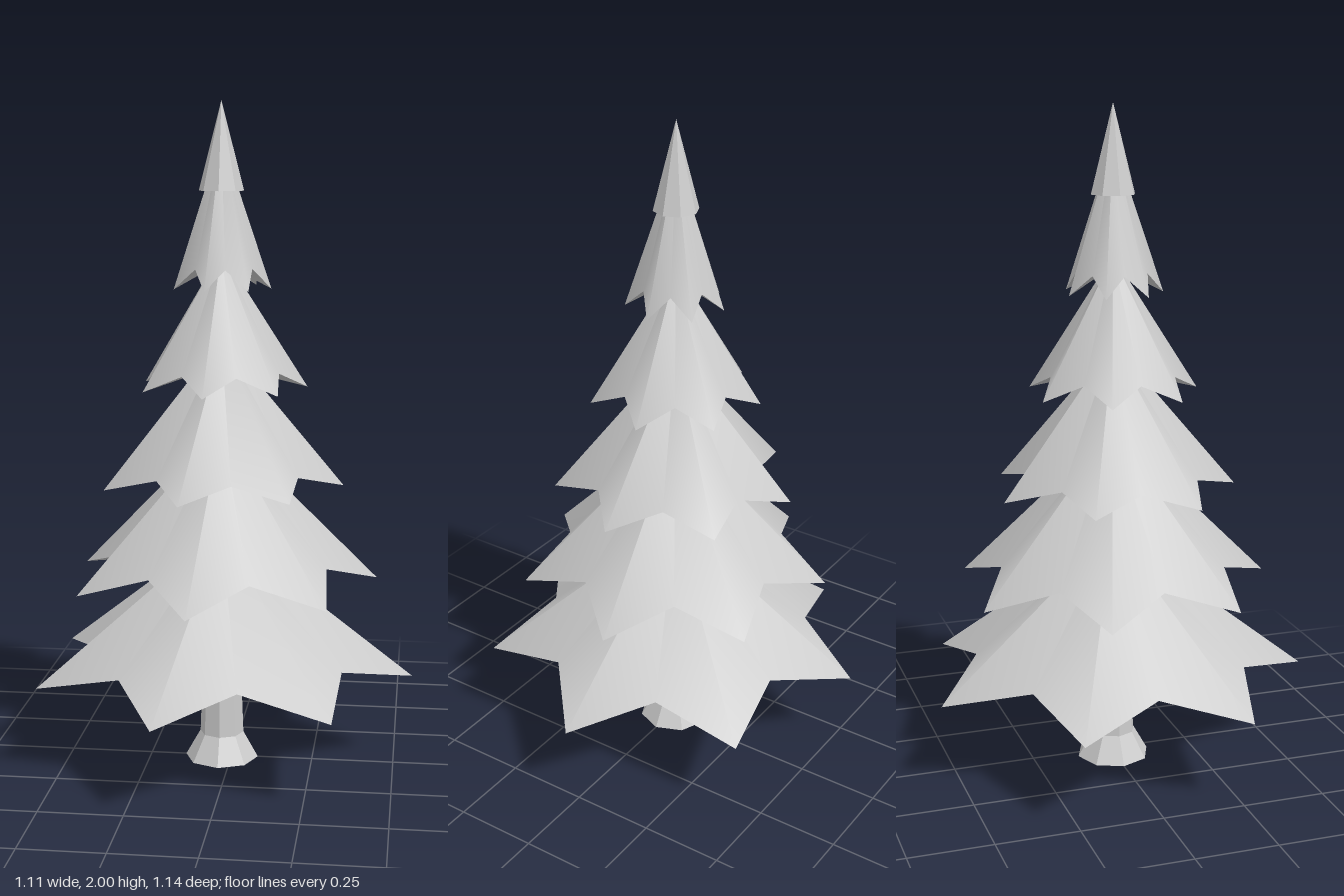
import * as THREE from 'three';

const POINTS = 7;

// Seven-pointed drooping skirt of needles with smooth upper side and a closed underside
function tierGeometry({ tip, valley, tipY, valleyY, apexY, turn }) {
  const n = POINTS * 2;
  const rim = [];
  for (let i = 0; i < n; i++) {
    const a = turn + (i * Math.PI) / POINTS;
    const r = i % 2 ? valley : tip;
    rim.push([r * Math.cos(a), i % 2 ? valleyY : tipY, -r * Math.sin(a)]);
  }
  const pos = [];
  const index = [];
  const t = 0.01; // tiny ring at the peak keeps the shading even
  for (const p of rim) pos.push(p[0] * t, apexY, p[2] * t);
  for (const p of rim) pos.push(...p);
  for (const p of rim) pos.push(...p); // separate rim for the underside
  pos.push(0, valleyY + 0.015, 0);
  for (let i = 0; i < n; i++) {
    const j = (i + 1) % n;
    index.push(i, n + i, n + j, i, n + j, j);
    index.push(3 * n, 2 * n + j, 2 * n + i);
  }
  const g = new THREE.BufferGeometry();
  g.setAttribute('position', new THREE.Float32BufferAttribute(pos, 3));
  g.setIndex(index);
  g.computeVertexNormals();
  return g;
}

// Faceted eight-sided cylinder or cone standing between two heights
function faceted(rTop, rBottom, y0, y1) {
  const g = new THREE.CylinderGeometry(rTop, rBottom, y1 - y0, 8).toNonIndexed();
  g.translate(0, (y0 + y1) / 2, 0);
  g.computeVertexNormals();
  return g;
}

export function createModel() {
  const tree = new THREE.Group();
  tree.name = 'firTree';
  const grey = new THREE.MeshStandardMaterial({ color: 0xcccccc });
  grey.name = 'light grey';

  const add = (name, geometry) => {
    const mesh = new THREE.Mesh(geometry, grey);
    mesh.name = name;
    mesh.position.x = -0.03;
    tree.add(mesh);
  };

  // Trunk with flared foot
  add('trunkFoot', faceted(0.067, 0.112, 0, 0.08));
  add('trunk', faceted(0.053, 0.067, 0.08, 0.45));

  // Branch tiers, every second one turned a little
  const turn = 0.128;
  [
    { tip: 0.584, valley: 0.42, tipY: 0.28, valleyY: 0.342, apexY: 0.72, turn: 0 },
    { tip: 0.474, valley: 0.343, tipY: 0.57, valleyY: 0.635, apexY: 1.04, turn },
    { tip: 0.368, valley: 0.266, tipY: 0.868, valleyY: 0.91, apexY: 1.3, turn: 0 },
    { tip: 0.257, valley: 0.187, tipY: 1.16, valleyY: 1.21, apexY: 1.56, turn },
    { tip: 0.148, valley: 0.107, tipY: 1.455, valleyY: 1.515, apexY: 1.89, turn: 0 },
  ].forEach((t, i) => add('branchTier' + (i + 1), tierGeometry(t)));

  // Pointed treetop
  add('treetop', faceted(0, 0.067, 1.74, 2));
  return tree;
}
